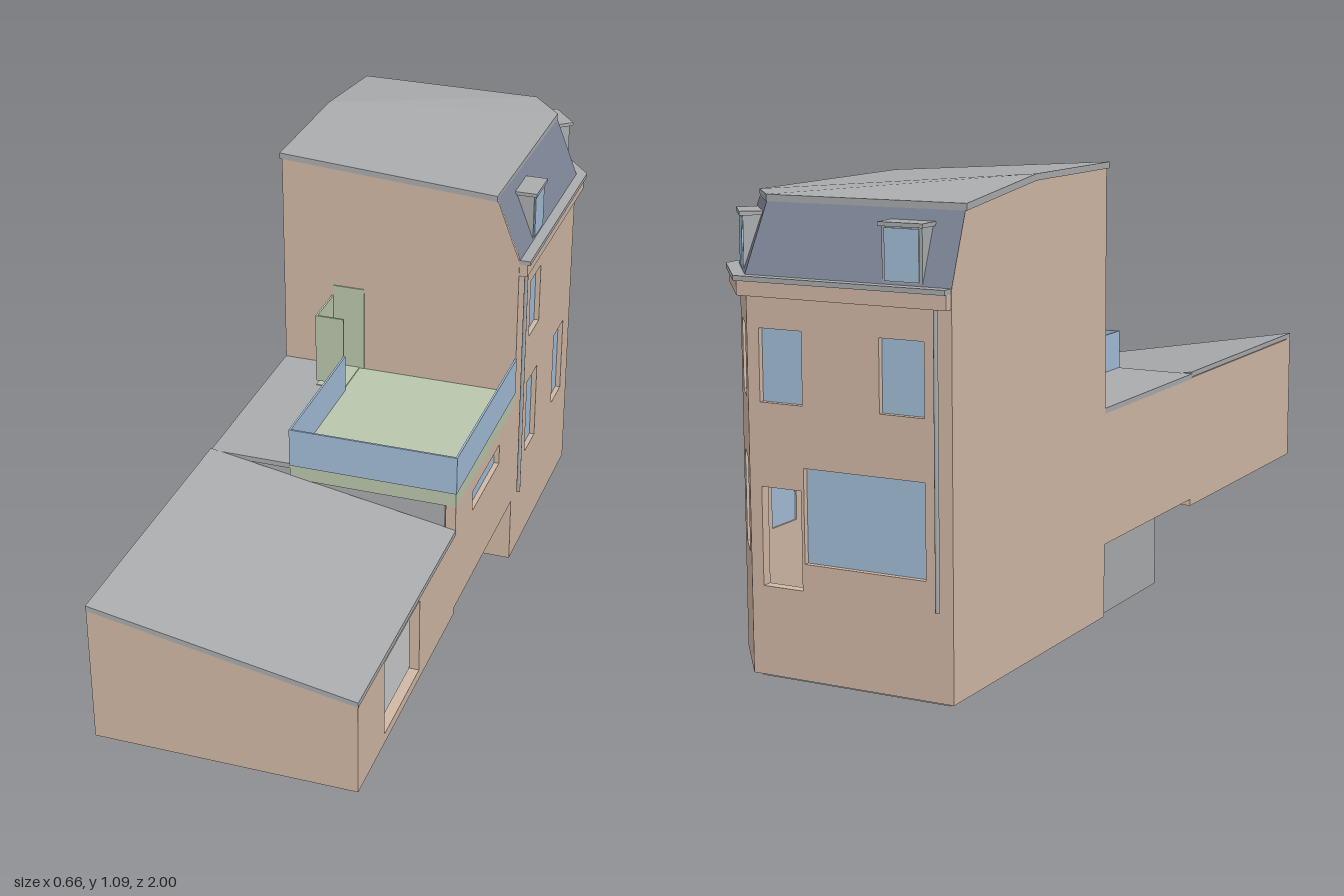
import * as THREE from 'three';

const mat = (name, color, side = THREE.FrontSide) => {
  const m = new THREE.MeshStandardMaterial({ color, side });
  m.name = name;
  return m;
};

export function createModel() {
  const model = new THREE.Group();
  const plaster = mat('plaster', 0xd0b8a5);
  const grey = mat('grey', 0xa9abad);
  const slate = mat('slate', 0x7f8798, THREE.DoubleSide);
  const blue = mat('blueGlass', 0xa3bdd7);
  const green = mat('paleGreen', 0xb9c6ab);

  const add = (name, geo, material, parent = model) => {
    const mesh = new THREE.Mesh(geo, material);
    mesh.name = name;
    parent.add(mesh);
    return mesh;
  };

  // Box given by its minimum and maximum on each axis
  const box = (name, material, x0, x1, y0, y1, z0, z1, parent) => {
    const mesh = add(name, new THREE.BoxGeometry(x1 - x0, y1 - y0, z1 - z0), material, parent);
    mesh.position.set((x0 + x1) / 2, (y0 + y1) / 2, (z0 + z1) / 2);
    return mesh;
  };

  const facets = (points) => {
    const geo = new THREE.BufferGeometry();
    geo.setAttribute('position', new THREE.Float32BufferAttribute(points.flat(), 3));
    geo.computeVertexNormals();
    return geo;
  };

  // Solid between two matching loops, counterclockwise from above
  const prism = (name, material, low, high) => {
    const t = [];
    low.forEach((a, i) => {
      const j = (i + 1) % low.length;
      t.push(a, low[j], high[j], a, high[j], high[i]);
      if (i > 0 && j > 0) t.push(high[0], high[i], high[j], low[0], low[j], a);
    });
    return add(name, facets(t), material);
  };
  const level = (plan, y) => plan.map(([x, z]) => [x, y, z]);

  // Wall running from a to b with its outside on local +z; openings are [u0, u1, y0, y1, glazed]
  const wall = (name, a, b, outline, openings = [], thick = 0.025) => {
    const g = new THREE.Group();
    g.name = name;
    g.position.set(a[0], 0, a[1]);
    g.rotation.y = Math.atan2(a[1] - b[1], b[0] - a[0]);
    model.add(g);
    const shape = new THREE.Shape(outline.map((p) => new THREE.Vector2(...p)));
    for (const [u0, u1, y0, y1, glazed] of openings) {
      shape.holes.push(new THREE.Path([[u0, y0], [u0, y1], [u1, y1], [u1, y0]].map((p) => new THREE.Vector2(...p))));
      if (glazed) box('windowPane', blue, u0, u1, y0, y1, -0.021, -0.013, g);
    }
    const geo = new THREE.ExtrudeGeometry(shape, { depth: thick, bevelEnabled: false });
    add(name + 'Panel', geo.translate(0, 0, -thick), plaster, g);
  };
  const rect = (w, y0, y1) => [[0, y0], [w, y0], [w, y1], [0, y1]];

  // Tower walls
  const FR = [0.3, -0.235], CR = [0.3, -0.81], CB = [0.175, -0.97], BL = [-0.325, -0.97], FL = [-0.325, -0.235];
  const upper = [0.615, 0.775, true], lower = [0.27, 0.48, true];
  wall('towerRightWall', FR, CR, rect(0.575, 0.01, 0.86),
    [[0.125, 0.225, ...upper], [0.125, 0.225, ...lower], [0.405, 0.505, ...lower]]);
  wall('towerCornerWall', CR, CB, rect(0.203, 0.01, 0.86), [[0.053, 0.15, ...upper], [0.053, 0.15, ...lower]]);
  wall('towerBackWall', CB, BL, rect(0.5, 0.01, 0.86),
    [[0.03, 0.137, ...upper], [0.327, 0.435, ...upper], [0.137, 0.435, ...lower], [0.03, 0.13, 0.21, 0.43, false]]);
  wall('towerLeftWall', BL, FL,
    [[0, 0.01], [0.735, 0.01], [0.735, 1.08], [0.37, 1.08], [0.06, 1.045], [0, 0.885]]);
  wall('towerFrontWall', FL, FR, [[0, 0.01], [0.625, 0.01], [0.625, 0.885], [0.565, 1.042], [0, 1.08]]);
  const base = [[0.28, -0.25], [0.28, -0.8], [0.165, -0.95], [-0.305, -0.95], [-0.305, -0.25]];
  prism('towerBase', grey, level(base, 0), level(base, 0.016));

  // Cornice and gutter edge
  const ledge = (o) => [[0.3 + o, -0.237], [0.3 + o, -0.81 - o * 0.48], [0.175 + o * 0.48, -0.97 - o],
    [-0.324, -0.97 - o], [-0.324, -0.237]];
  prism('cornice', plaster, level(ledge(0.021), 0.845), level(ledge(0.021), 0.877));
  prism('gutter', grey, level(ledge(0.028), 0.877), level(ledge(0.028), 0.888));

  // Steep slate roof sides
  const eave = level([[0.302, -0.236], [0.302, -0.811], [0.176, -0.972], [-0.326, -0.972]], 0.887);
  const crown = level([[0.24, -0.236], [0.24, -0.81], [0.155, -0.91], [-0.326, -0.91]], 1.046);
  const sides = [];
  for (let i = 0; i < 3; i++) {
    sides.push(eave[i], eave[i + 1], crown[i + 1], eave[i], crown[i + 1], crown[i]);
  }
  add('mansardSides', facets(sides), slate);

  // Shallow top roof, fanned from the ridge end
  const roofTop = [[-0.33, 1.093, -0.6], [-0.33, 1.093, -0.232], [0.24, 1.054, -0.232],
    [0.243, 1.054, -0.81], [0.157, 1.054, -0.913], [-0.33, 1.056, -0.913]];
  prism('towerRoof', grey, roofTop.map(([x, y, z]) => [x, y - 0.015, z]), roofTop);

  // Dormers on the right, corner and back roof sides
  for (const [x, z, nx, nz] of [[0.3, -0.41, 1, 0], [0.2375, -0.89, 0.788, -0.616], [-0.21, -0.97, 0, -1]]) {
    const d = new THREE.Group();
    d.name = 'dormer';
    d.position.set(x, 0, z);
    d.rotation.y = Math.atan2(nx, nz);
    model.add(d);
    box('dormerBody', grey, -0.048, 0.048, 0.885, 1.01, -0.055, 0, d);
    box('dormerRoof', grey, -0.053, 0.053, 1.008, 1.017, -0.055, 0.008, d);
    box('dormerWindow', blue, -0.041, 0.041, 0.895, 1.005, 0, 0.003, d);
  }

  // Downpipes
  for (const [x, z] of [[0.314, -0.255], [-0.295, -0.984]]) {
    add('downpipe', new THREE.CylinderGeometry(0.005, 0.005, 0.637, 10), grey).position.set(x, 0.5285, z);
  }

  // Raised wing: walls with a wide opening and a strip window
  wall('wingRightWall', [0.3, 1], FR,
    [[0, 0.17], [0.715, 0.17], [0.715, 0.187], [1.235, 0.187], [1.235, 0.475], [0.715, 0.475], [0.715, 0.4], [0, 0.4]],
    [[0.18, 0.435, 0.195, 0.39, false], [0.86, 1.1, 0.38, 0.435, true]]);
  wall('wingFrontWall', [-0.325, 1], [0.3, 1], [[0, 0.17], [0.625, 0.17], [0.625, 0.398], [0, 0.508]]);
  wall('wingLeftWall', FL, [-0.325, 1],
    [[0, 0.187], [0.52, 0.187], [0.52, 0.17], [1.235, 0.17], [1.235, 0.506], [0, 0.506]]);
  box('wingFloor', grey, -0.315, 0.29, 0.174, 0.192, 0.29, 0.99);
  box('wingRearFloor', plaster, -0.32, 0.295, 0.188, 0.205, -0.235, 0.288);
  box('wingPartitionLow', grey, -0.31, 0.272, 0.2, 0.475, 0.265, 0.281);
  box('wingPartitionHigh', grey, -0.31, -0.12, 0.475, 0.503, 0.265, 0.281);

  // Wing roofs
  const slope = [[0.301, 0.41, 1], [0.301, 0.41, 0.284], [-0.326, 0.521, 0.284], [-0.326, 0.521, 1]];
  prism('wingSlopedRoof', grey, slope.map(([x, y, z]) => [x, y - 0.013, z]), slope);
  box('wingFlatRoof', grey, -0.326, -0.12, 0.503, 0.516, -0.235, 0.284);

  // Terrace deck, landing and glass parapet
  box('terraceDeck', green, -0.12, 0.3, 0.475, 0.515, -0.235, 0.285);
  box('landing', green, -0.195, -0.12, 0.51, 0.518, -0.235, -0.11);
  box('parapetRight', blue, 0.297, 0.302, 0.513, 0.612, -0.235, 0.288);
  box('parapetFront', blue, -0.12, 0.302, 0.513, 0.612, 0.283, 0.288);
  box('parapetLeft', blue, -0.12, -0.115, 0.513, 0.612, -0.11, 0.288);
  box('landingScreenFront', green, -0.195, -0.12, 0.53, 0.716, -0.114, -0.109);
  box('landingScreenSide', green, -0.195, -0.19, 0.53, 0.716, -0.235, -0.109);
  box('terraceDoor', green, -0.19, -0.107, 0.516, 0.745, -0.236, -0.232);

  // Entrance enclosure below the wing, open underneath
  box('entranceFront', grey, -0.315, -0.195, 0.012, 0.19, 0.075, 0.085);
  box('entranceLeft', grey, -0.315, -0.305, 0.012, 0.19, -0.235, 0.08);
  box('entranceRight', grey, -0.205, -0.195, 0.012, 0.19, -0.235, 0.08);

  return model;
}
